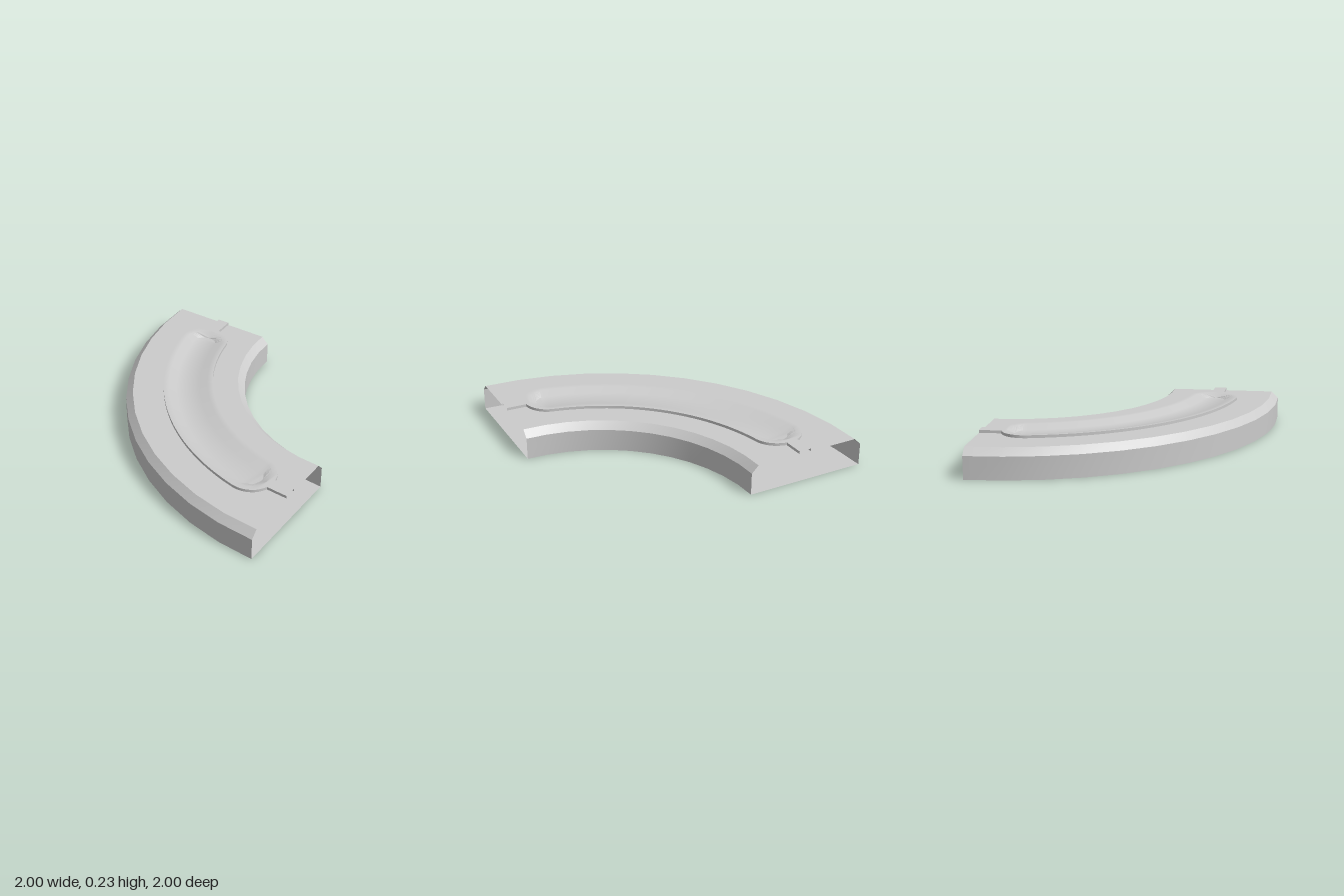
import * as THREE from 'three';
import { toCreasedNormals } from 'three/addons/utils/BufferGeometryUtils.js';

const STEP = Math.PI / 24;               // the bend has 12 straight facets over 90 degrees
const MID = 1.545;                       // radius of the centre line
const CAP = THREE.MathUtils.degToRad(12); // angle of the pad's rounded-end centres
const PAD = 0.18, RIM = 0.14, FLOOR = 0.085, STRIP = 0.045; // half widths
const TOP = 0.21, RAISED = 0.23, DEPTH = 0.03;

const material = new THREE.MeshStandardMaterial({ color: 0xcccccc, side: THREE.DoubleSide });

// Sweep a cross-section of [radius, height] points round the corner (1, -1)
function sweep(name, angles, section) {
  const positions = [], index = [];
  let n = 0;
  angles.forEach((t, i) => {
    const points = section(t);
    n = points.length;
    for (const [r, y] of points) positions.push(1 - r * Math.cos(t), y, -1 + r * Math.sin(t));
    if (i === 0) return;
    for (let j = 0; j < n - 1; j++) {
      const a = (i - 1) * n + j, b = a + n;
      index.push(a, a + 1, b, a + 1, b + 1, b);
    }
  });
  const geometry = new THREE.BufferGeometry();
  geometry.setAttribute('position', new THREE.Float32BufferAttribute(positions, 3));
  geometry.setIndex(index);
  const mesh = new THREE.Mesh(toCreasedNormals(geometry, Math.PI / 6), material);
  mesh.name = name;
  return mesh;
}

// Radius of a faceted arc, so the deck meets the straight facets of the body
function faceted(r, t) {
  const local = t - Math.floor(t / STEP + 1e-6) * STEP;
  return r * Math.cos(STEP / 2) / Math.cos(local - STEP / 2);
}

// Half width of a round-ended slot at distance d beyond its end centre
const slot = (half, d) => Math.sqrt(Math.max(0, half * half - d * d));

// Deck with a raised strip that widens into a dished, round-ended pad
function deckSection(t) {
  const d = Math.max(0, CAP - t, t - (Math.PI / 2 - CAP)) * MID;
  const pad = Math.max(STRIP, slot(PAD, d));
  const rim = slot(RIM, d), floor = slot(FLOOR, d);
  const low = RAISED - DEPTH * THREE.MathUtils.clamp((RIM - d) / (RIM - FLOOR), 0, 1);
  return [
    [faceted(1.18, t), TOP], [MID - pad, TOP], [MID - pad, RAISED],
    [MID - rim, RAISED], [MID - floor, low], [MID + floor, low], [MID + rim, RAISED],
    [MID + pad, RAISED], [MID + pad, TOP], [faceted(1.95, t), TOP],
  ];
}

export function createModel() {
  const group = new THREE.Group();
  group.name = 'curvedSection';

  const facets = Array.from({ length: 13 }, (_, i) => i * STEP);

  // Floor, side walls and bevels, open at both ends
  const bodySection = [[1.95, TOP], [2, 0.16], [2, 0], [1.13, 0], [1.13, 0.16], [1.18, TOP]];
  group.add(sweep('body', facets, () => bodySection));

  // Extra cuts at the rounded ends of the pad and its dish
  const cuts = [...facets];
  for (const half of [PAD, RIM, FLOOR]) {
    for (let k = 0; k <= 8; k++) {
      const d = Math.min(half * Math.sin(k * Math.PI / 16), Math.sqrt(PAD * PAD - STRIP * STRIP));
      const t = CAP - d / MID;
      cuts.push(t, Math.PI / 2 - t);
    }
  }
  // Even cuts along the middle
  for (let k = 1; k < 24; k++) cuts.push(CAP + (Math.PI / 2 - 2 * CAP) * k / 24);
  cuts.sort((a, b) => a - b);
  const angles = cuts.filter((t, i) => i === 0 || t - cuts[i - 1] > 1e-5);
  group.add(sweep('deck', angles, deckSection));

  return group;
}
